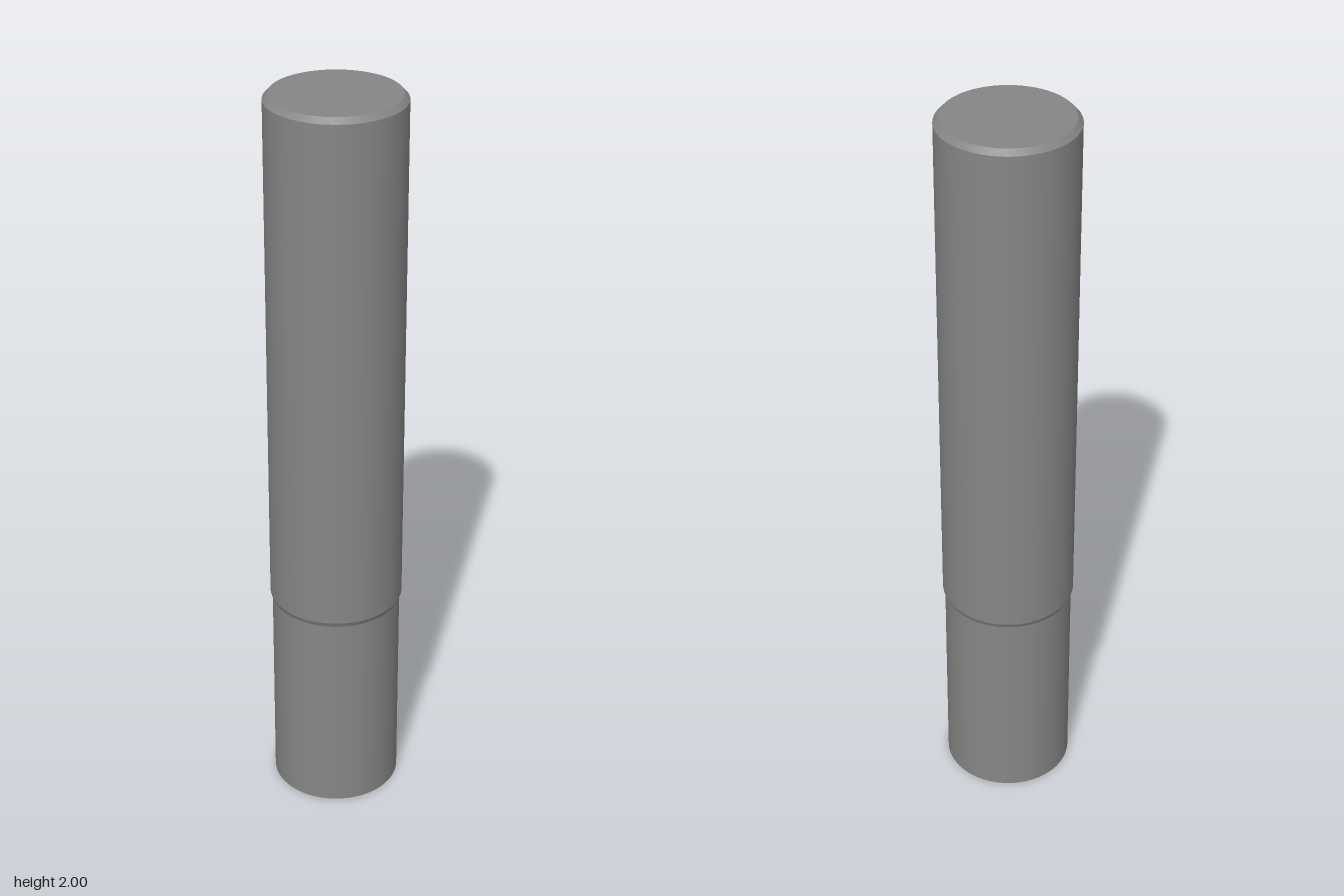
import * as THREE from 'three';
import { mergeGeometries } from 'three/addons/utils/BufferGeometryUtils.js';

const material = new THREE.MeshStandardMaterial({ color: 0x868686 });

// Revolves each profile segment on its own: smooth around, sharp between bands.
function turned(name, profile) {
  const bands = [];
  for (let i = 0; i < profile.length - 1; i++) {
    const pair = [profile[i], profile[i + 1]].map(([r, y]) => new THREE.Vector2(r, y));
    bands.push(new THREE.LatheGeometry(pair, 72));
  }
  const mesh = new THREE.Mesh(mergeGeometries(bands), material);
  mesh.name = name;
  return mesh;
}

export function createModel() {
  const group = new THREE.Group();
  group.name = 'steppedRod';

  // Blind stepped socket, from its floor down to the mouth
  group.add(turned('socket', [
    [0, 0.5], [0.1, 0.5], [0.1, 0.1], [0.127, 0.075], [0.127, 0.008], [0.135, 0],
  ]));

  // Slightly narrower lower neck with its end ring
  group.add(turned('neck', [[0.135, 0], [0.172, 0], [0.172, 0.578]]));

  // Main barrel, tapering gently into the neck and chamfered at the top
  group.add(turned('barrel', [
    [0.172, 0.578], [0.178, 0.592], [0.178, 1.986], [0.165, 2], [0, 2],
  ]));

  return group;
}
